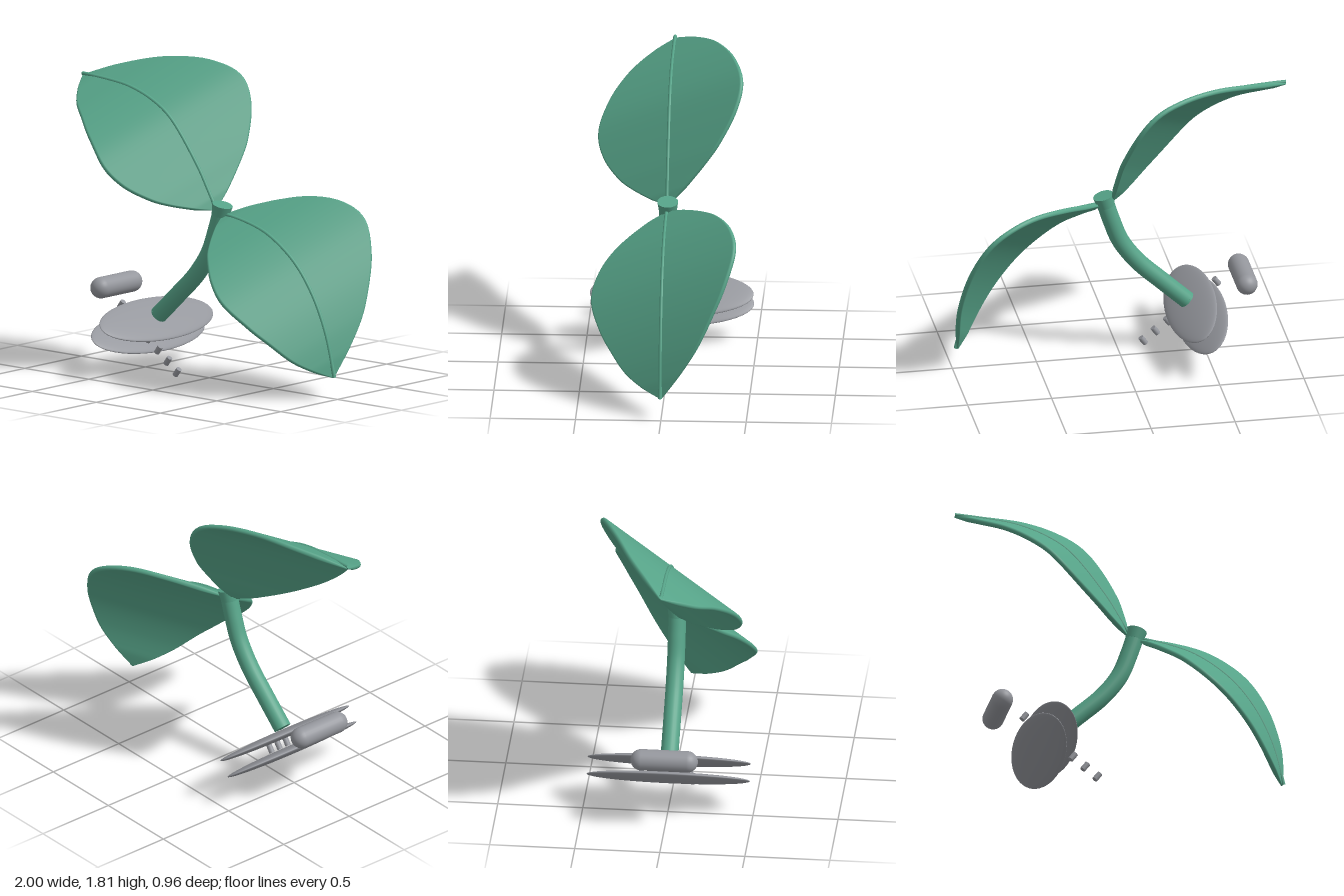
import * as THREE from 'three';

const V = (x, y, z = 0) => new THREE.Vector3(x, y, z);
const curve = (pts) => new THREE.CatmullRomCurve3(pts.map(([x, y]) => V(x, y)));

// Half width of a leaf (0..1) along its midrib, from base to tip
const leafShape = new THREE.SplineCurve([
  [0, 0], [0.03, 0.13], [0.06, 0.25], [0.13, 0.5], [0.2, 0.7], [0.32, 0.92], [0.45, 1],
  [0.6, 0.87], [0.72, 0.69], [0.83, 0.49], [0.92, 0.25], [1, 0],
].map(([s, w]) => new THREE.Vector2(s, w)));

// Both leaves spread sideways along this slanted direction
const SPREAD = V(0.172, 0.225, -0.43);
const THICK = 0.015;

// A rounded-edge sheet swept along the midrib
function bladeGeometry(midrib, spread) {
  const rows = 56, half = 8, ring = 2 * half;
  const pos = [], idx = [];
  const dir = spread.clone().normalize();
  const reach = spread.length() - THICK;
  for (let i = 0; i <= rows; i++) {
    const p = leafShape.getPoint(i / rows);
    const s = THREE.MathUtils.clamp(p.x, 0, 1), w = Math.max(0, p.y);
    const mid = midrib.getPointAt(s);
    const up = midrib.getTangentAt(s).cross(spread).normalize();
    const r = THICK * Math.min(1, 0.3 + 3 * w);
    for (let j = 0; j < ring; j++) {
      const side = j < half ? 1 : -1;
      const a = (j % half) / (half - 1) * Math.PI - Math.PI / 2 + (side < 0 ? Math.PI : 0);
      const q = mid.clone()
        .addScaledVector(dir, side * reach * w + r * Math.cos(a))
        .addScaledVector(up, r * Math.sin(a));
      pos.push(q.x, q.y, q.z);
      if (i < rows) {
        const n = (j + 1) % ring, A = i * ring + j, B = i * ring + n;
        idx.push(A, B, A + ring, B, B + ring, A + ring);
      }
    }
  }
  const geo = new THREE.BufferGeometry();
  geo.setAttribute('position', new THREE.Float32BufferAttribute(pos, 3));
  geo.setIndex(idx);
  geo.computeVertexNormals();
  return geo;
}

export function createModel() {
  const model = new THREE.Group();
  const green = new THREE.MeshStandardMaterial({ name: 'leaf green', color: 0x56a388 });
  const grey = new THREE.MeshStandardMaterial({ name: 'metal grey', color: 0x95979d });

  const add = (name, geo, mat, parent = model) => {
    const m = new THREE.Mesh(geo, mat);
    m.name = name;
    parent.add(m);
    return m;
  };
  // Cylinder between two points
  const rod = (name, a, b, rA, rB, mat) => {
    const d = b.clone().sub(a);
    const m = add(name, new THREE.CylinderGeometry(rB, rA, d.length(), 28), mat);
    m.position.copy(a).add(b).multiplyScalar(0.5);
    m.quaternion.setFromUnitVectors(V(0, 1), d.normalize());
    return m;
  };

  // Leaves, each a blade with a raised rib
  const leaf = (name, pts, side) => {
    const g = new THREE.Group();
    g.name = name;
    model.add(g);
    const midrib = curve(pts);
    const spread = SPREAD.clone().multiplyScalar(side);
    add('blade', bladeGeometry(midrib, spread), green, g);
    const ribPath = [];
    for (let i = 0; i <= 16; i++) {
      const up = midrib.getTangentAt(i / 16).cross(spread).normalize();
      ribPath.push(midrib.getPointAt(i / 16).addScaledVector(up, 0.012));
    }
    add('rib', new THREE.TubeGeometry(new THREE.CatmullRomCurve3(ribPath), 48, 0.011, 10), green, g);
  };
  leaf('lowerLeaf', [[0.11, 0.99], [0.29, 0.962], [0.46, 0.91], [0.66, 0.775], [0.8, 0.6],
    [0.9, 0.39], [0.97, 0.13]], 1);
  leaf('upperLeaf', [[0.05, 1.01], [-0.02, 1.13], [-0.09, 1.245], [-0.31, 1.515], [-0.45, 1.6],
    [-0.62, 1.655], [-0.8, 1.675], [-0.985, 1.685]], -1);

  // Curved stem with a flat foot and a flared top
  const stemPath = curve([[-0.39, 0.335], [-0.25, 0.465], [-0.1, 0.61], [0, 0.75],
    [0.055, 0.89], [0.09, 1.0]]);
  add('stem', new THREE.TubeGeometry(stemPath, 48, 0.052, 24), green);
  rod('stemFoot', V(-0.395, 0.33), V(-0.385, 0.34), 0.052, 0.052, green);
  rod('stemTop', V(0.085, 0.985), V(0.103, 1.05), 0.052, 0.061, green);

  // Two lens-shaped plates, tilted and long from front to back
  const tilt = Math.atan2(-0.2, 0.27);
  [['upperPlate', -0.415, 0.302], ['lowerPlate', -0.48, 0.222]].forEach(([name, x, y]) => {
    const plate = add(name, new THREE.SphereGeometry(1, 48, 24), grey);
    plate.scale.set(0.166, 0.026, 0.48);
    plate.position.set(x, y, 0);
    plate.rotation.z = tilt;
  });

  // Row of small pegs running between and past the plates
  for (let i = 0; i < 7; i++) {
    const t = i / 6;
    const peg = add('peg', new THREE.CylinderGeometry(0.017, 0.017, 0.05, 18), grey);
    peg.position.set(-0.59 + 0.435 * t, 0.382 - 0.347 * t, 0.11);
    peg.rotation.z = tilt;
  }

  // Round-ended roller beside the plates
  const roller = add('roller', new THREE.CapsuleGeometry(0.063, 0.27, 10, 28), grey);
  roller.rotation.x = Math.PI / 2;
  roller.position.set(-0.727, 0.468, 0);

  return model;
}
